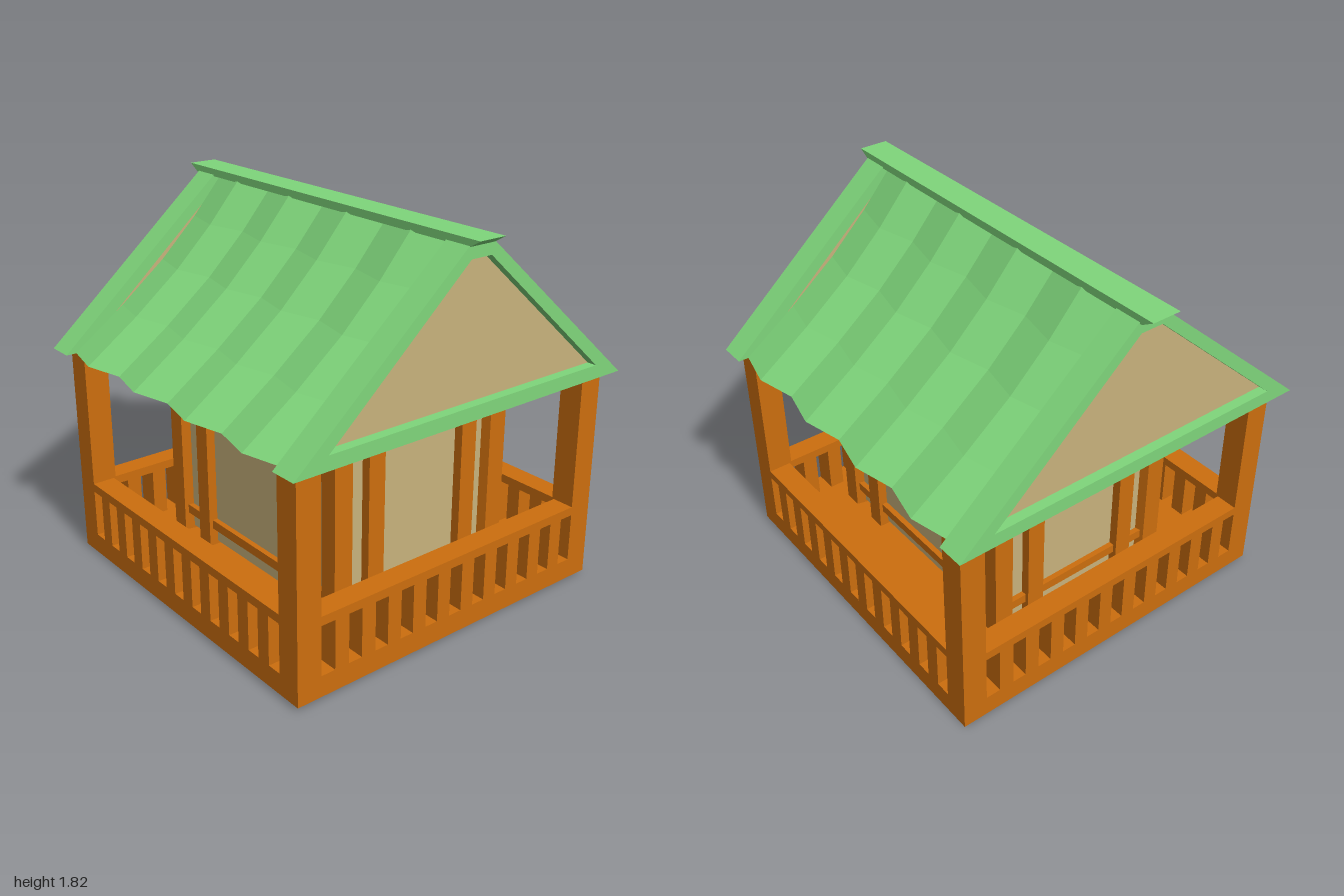
import * as THREE from 'three';

const mat = (color) => new THREE.MeshStandardMaterial({ color, flatShading: true, side: THREE.DoubleSide });

export function createModel() {
  const wood = mat(0xcc6e0e), cloth = mat(0xc8b27c), green = mat(0x7fd67b);
  const model = new THREE.Group();
  model.name = 'pavilion';

  function add(parent, name, geometry, material, x = 0, y = 0, z = 0) {
    const mesh = new THREE.Mesh(geometry, material);
    mesh.name = name;
    mesh.position.set(x, y, z);
    parent.add(mesh);
    return mesh;
  }
  // Box given by its centre in plan and its bottom and top heights
  const box = (parent, name, material, w, d, y0, y1, x = 0, z = 0) =>
    add(parent, name, new THREE.BoxGeometry(w, y1 - y0, d), material, x, (y0 + y1) / 2, z);
  const group = (name, z = 0) => {
    const g = new THREE.Group();
    g.name = name;
    g.position.z = z;
    model.add(g);
    return g;
  };
  const shape = (points) => new THREE.Shape(points.map(([x, y]) => new THREE.Vector2(x, y)));
  const extrude = (s, depth) => new THREE.ExtrudeGeometry(s, { depth, bevelEnabled: false });

  // Deck, corner posts and slotted railings
  const porch = group('porch', 0.017);
  box(porch, 'deck', wood, 1.74, 1.74, 0, 0.1);
  for (const x of [-0.81, 0.81])
    for (const z of [-0.81, 0.81]) box(porch, 'porchPost', wood, 0.12, 0.12, 0.1, 1.035, x, z);
  for (let side = 0; side < 4; side++) {
    const railing = new THREE.Group();
    railing.name = 'railing';
    railing.rotation.y = side * Math.PI / 2;
    porch.add(railing);
    box(railing, 'topRail', wood, 1.5, 0.11, 0.335, 0.377, 0, 0.815);
    for (let i = 0; i < 10; i++)
      box(railing, 'baluster', wood, 0.073, 0.11, 0.1, 0.335, (i - 4.5) * 0.1425, 0.815);
  }

  // Inner room: cloth walls framed by studs and beams
  const room = group('room', 0.035);
  const wallFrame = (name, angle, half, wallAt, studAt) => {
    const wall = new THREE.Group();
    wall.name = name;
    wall.rotation.y = angle;
    room.add(wall);
    box(wall, 'wallPanel', cloth, 2 * half, 0.02, 0.115, 1.035, 0, wallAt);
    for (const s of [-1, 1]) box(wall, 'stud', wood, 0.088, 0.07, 0.1, 1.035, s * studAt, wallAt + 0.02);
    box(wall, 'upperBeam', wood, 2 * half, 0.05, 0.868, 0.907, 0, wallAt + 0.012);
    box(wall, 'lowerBeam', wood, 2 * half, 0.05, 0.19, 0.235, 0, wallAt + 0.012);
  };
  for (const a of [0, Math.PI]) {
    wallFrame('endWall', a, 0.42, 0.575, 0.27);
    wallFrame('sideWall', a + Math.PI / 2, 0.55, 0.445, 0.365);
  }
  const postPlan = [[0.5, 0.63], [0.405, 0.63], [0.385, 0.55], [0.42, 0.52], [0.5, 0.54]];
  for (const sx of [-1, 1])
    for (const sz of [-1, 1]) {
      const geometry = extrude(shape(postPlan.map(([x, z]) => [x * sx, z * sz])), 0.935);
      add(room, 'roomPost', geometry.rotateX(-Math.PI / 2), wood, 0, 0.1, 0);
    }

  // Gable frames with recessed cloth panels
  const roof = group('roof', 0.008);
  const gable = shape([[-0.925, 1.035], [0.925, 1.035], [0.07, 1.777], [-0.07, 1.777]]);
  const opening = [[-0.76, 1.1], [0.76, 1.1], [0.055, 1.722], [-0.055, 1.722]];
  gable.holes.push(new THREE.Path(opening.map(([x, y]) => new THREE.Vector2(x, y))));
  for (const s of [-1, 1]) {
    add(roof, 'gableFrame', extrude(gable, 0.13), green, 0, 0, s * 0.872 - 0.065);
    add(roof, 'gablePanel', extrude(shape(opening), 0.02), cloth, 0, 0, s * 0.88 - 0.01);
  }

  // Sagging, rippled roof cover; the first row runs in to close the underside
  const rows = 5, cols = 8;
  for (const s of [-1, 1]) {
    const position = [], index = [];
    for (let r = 0; r <= rows; r++)
      for (let c = 0; c <= cols; c++) {
        const t = (r - 1) / (rows - 1);
        const fold = c % 2 ? 0 : 0.045;
        const x = r === 0 ? 0 : 0.92 - 0.85 * t - fold - 0.07 * Math.sin(Math.PI * t);
        const y = r === 0 ? 1.037 : 1.037 + 0.74 * t;
        position.push(s * x, y, -0.808 + 1.616 * c / cols);
      }
    for (let r = 0; r < rows; r++)
      for (let c = 0; c < cols; c++) {
        const a = r * (cols + 1) + c, b = a + 1, d = a + cols + 1, e = d + 1;
        if (s > 0) index.push(a, d, b, b, d, e);
        else index.push(a, b, d, b, e, d);
      }
    const geometry = new THREE.BufferGeometry();
    geometry.setAttribute('position', new THREE.Float32BufferAttribute(position, 3));
    geometry.setIndex(index);
    geometry.computeVertexNormals();
    add(roof, s > 0 ? 'roofCoverLeft' : 'roofCoverRight', geometry, green);
  }

  // Ridge cap with undercut ends
  const cap = extrude(shape([[-0.94, 1.77], [0.94, 1.77], [1, 1.806], [-1, 1.806]]), 0.14);
  add(roof, 'ridgeCap', cap.rotateY(Math.PI / 2), green, -0.07, 0, -0.008);

  // Slight lean of the whole building
  model.rotation.set(-0.006, -0.008, -0.006);
  model.position.set(-0.01, 0.01, 0);
  const root = new THREE.Group();
  root.name = 'gardenPavilion';
  root.add(model);
  return root;
}
